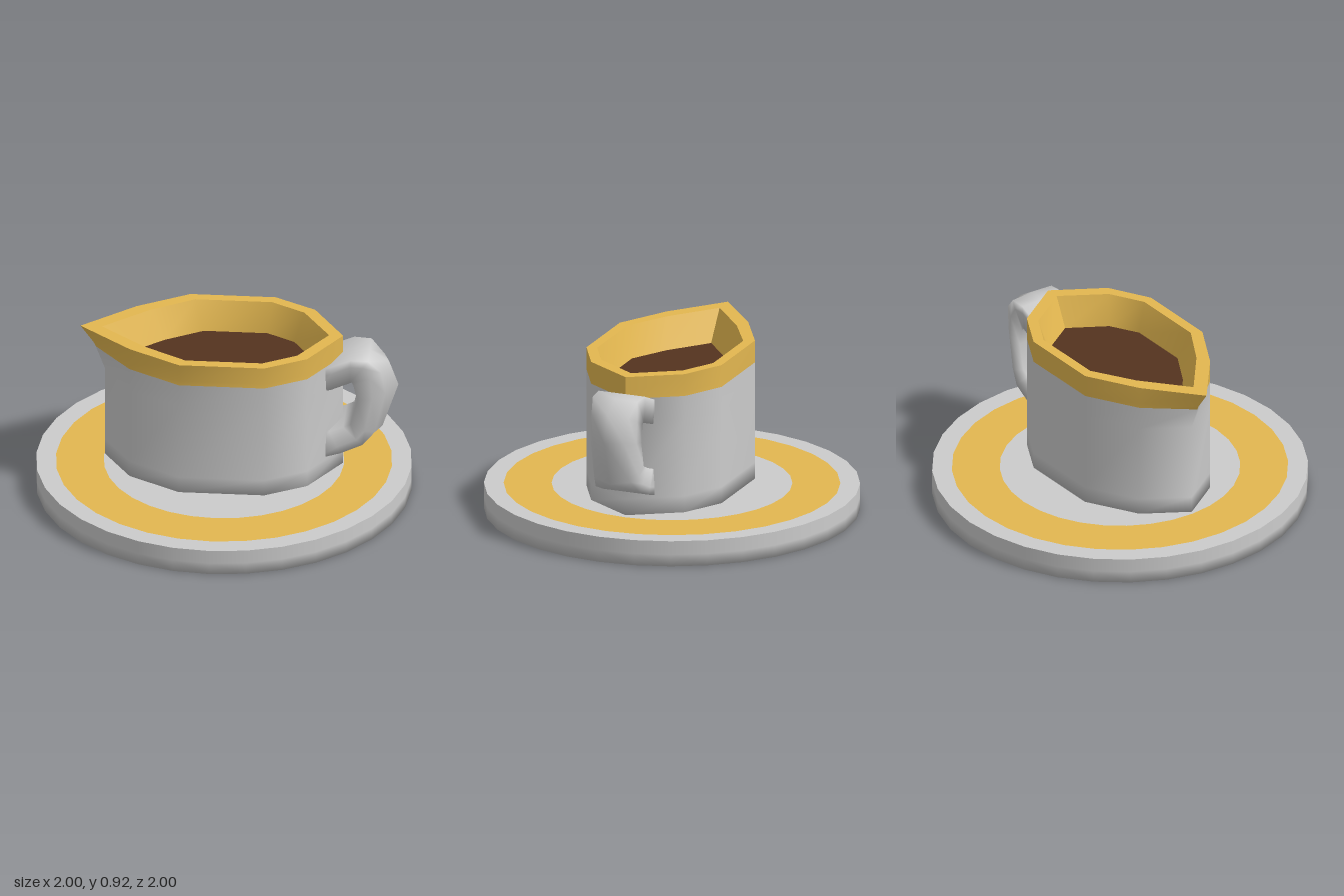
import * as THREE from 'three';
import { toCreasedNormals } from 'three/addons/utils/BufferGeometryUtils.js';

const paint = (color) => new THREE.MeshStandardMaterial({ color, side: THREE.DoubleSide });
const grey = paint(0xcccccc), gold = paint(0xe3b750), brown = paint(0x54331f);

// Skin a list of closed rings of points; optional fan caps at either end.
function loft(rings, capStart, capEnd) {
  const n = rings[0].length, pos = rings.flat(2), index = [];
  for (let r = 0; r < rings.length - 1; r++) {
    for (let i = 0; i < n; i++) {
      const a = r * n + i, b = r * n + (i + 1) % n;
      index.push(a, b, b + n, a, b + n, a + n);
    }
  }
  const cap = (start, flip) => {
    for (let i = 1; i < n - 1; i++) {
      const [p, q] = flip ? [i + 1, i] : [i, i + 1];
      index.push(start, start + p, start + q);
    }
  };
  if (capStart) cap(0, true);
  if (capEnd) cap((rings.length - 1) * n, false);
  const geo = new THREE.BufferGeometry();
  geo.setAttribute('position', new THREE.Float32BufferAttribute(pos, 3));
  geo.setIndex(index);
  geo.computeVertexNormals();
  return geo;
}

// Mirrored ten-sided plan: handle end, three... side points, spout end.
function plan(half, y) {
  const back = half.slice(1, -1);
  const loop = [...half.map(([x, z]) => [x, -z]), ...back.reverse()];
  return loop.map(([x, z]) => [x, y, z]);
}
const outer = (spout) => [[0.635, 0], [0.465, 0.27], [0.245, 0.39], [-0.21, 0.39], [-0.485, 0.235], [spout, 0]];
const lip = [[0.56, 0], [0.41, 0.235], [0.23, 0.335], [-0.18, 0.335], [-0.41, 0.2], [-0.65, 0]];
const pool = [[0.485, 0], [0.36, 0.2], [0.21, 0.285], [-0.13, 0.285], [-0.33, 0.17], [-0.535, 0]];

export function createModel() {
  const model = new THREE.Group();
  const add = (name, geo, mat) => {
    const mesh = new THREE.Mesh(geo, mat);
    mesh.name = name;
    model.add(mesh);
  };
  const lathe = (pts) => new THREE.LatheGeometry(pts.map(([x, y]) => new THREE.Vector2(x, y)), 32);

  // Saucer: underside with rim, then flat top in three bands
  add('saucerBase', lathe([[0, 0], [1, 0], [1, 0.065], [1, 0.085], [1, 0.14]]), grey);
  add('saucerRim', lathe([[1, 0.14], [0.895, 0.14]]), grey);
  add('saucerBand', lathe([[0.895, 0.14], [0.64, 0.14]]), gold);
  add('saucerCentre', lathe([[0.64, 0.14], [0, 0.14]]), grey);

  // Jug body, with the spout edge leaning out near the top
  const wall = [[0.15, -0.635], [0.24, -0.635], [0.67, -0.635], [0.8, -0.683]];
  add('jugBody', loft(wall.map(([y, s]) => plan(outer(s), y)), true, false), grey);

  // Coloured rim: outside band, flat lip and inner slope down to the drink
  add('jugRim', toCreasedNormals(loft([
    plan(outer(-0.683), 0.8), plan(outer(-0.695), 0.825), plan(outer(-0.765), 0.922),
    plan(lip, 0.922), plan(pool, 0.76),
  ]), 0.9), gold);
  const surface = plan(pool, 0.76);
  add('drink', loft([surface], false, true), brown);

  // Handle: [outer x, y, inner x, y, roundness of the outer side]
  const stations = [
    [0.5, 0.77, 0.5, 0.64, 0], [0.58, 0.8, 0.58, 0.66, 0], [0.685, 0.845, 0.68, 0.705, 0],
    [0.78, 0.845, 0.69, 0.71, 0.1], [0.88, 0.78, 0.7, 0.69, 0.6], [0.93, 0.64, 0.72, 0.6, 1],
    [0.845, 0.385, 0.685, 0.455, 0.7], [0.755, 0.325, 0.645, 0.435, 0.2],
    [0.63, 0.28, 0.57, 0.405, 0], [0.5, 0.24, 0.5, 0.39, 0],
  ];
  const rings = stations.map(([ox, oy, ix, iy, b]) => {
    const at = (t, z) => [ox + (ix - ox) * t, oy + (iy - oy) * t, z];
    const corner = 0.133 - 0.043 * b, w = 0.133;
    return [at(0, 0), at(0.3 * b, corner), at(0.3 + 0.32 * b, w), at(1, w * 0.95),
      at(1, -w * 0.95), at(0.3 + 0.32 * b, -w), at(0.3 * b, -corner)];
  });
  add('handle', loft(rings.reverse(), true, true), grey);

  return model;
}
